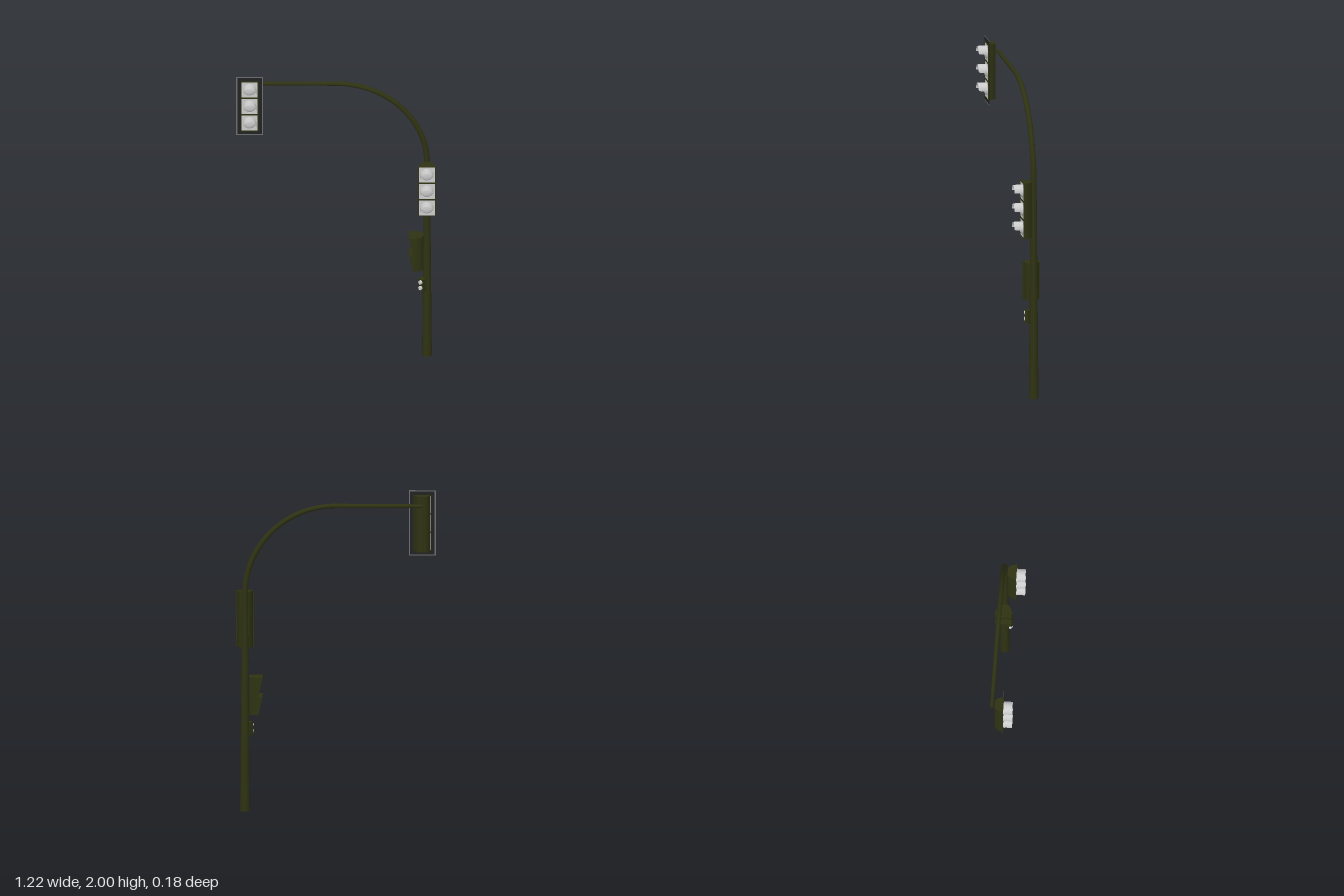
import * as THREE from 'three';
import { toCreasedNormals } from 'three/addons/utils/BufferGeometryUtils.js';

const paint = new THREE.MeshStandardMaterial({ color: 0x2e3212, side: THREE.DoubleSide });
const grey = new THREE.MeshStandardMaterial({ color: 0xcccccc, side: THREE.DoubleSide });
const black = new THREE.MeshStandardMaterial({ color: 0x222222, side: THREE.DoubleSide });
const edge = new THREE.MeshStandardMaterial({ color: 0x6a6c70, side: THREE.DoubleSide });

const POLE_X = 0.556, POLE_Z = -0.036, SECTION = 0.1167;

function add(parent, name, geometry, material, x = 0, y = 0, z = 0) {
  const mesh = new THREE.Mesh(geometry, material);
  mesh.name = name;
  mesh.position.set(x, y, z);
  parent.add(mesh);
  return mesh;
}

function group(parent, name, x, y, z, turn = 0) {
  const g = new THREE.Group();
  g.name = name;
  g.position.set(x, y, z);
  g.rotation.y = turn;
  parent.add(g);
  return g;
}

// Rectangle outline with a rectangular opening
function frameShape(w, h, border) {
  const rect = (T, a, b) => new T([[-a, -b], [a, -b], [a, b], [-a, b]].map(p => new THREE.Vector2(...p)));
  const shape = rect(THREE.Shape, w, h);
  shape.holes.push(rect(THREE.Path, w - border, h - border));
  return shape;
}

// Upright, quarter bend and arm as one tapering tube
function poleAndArm(parent) {
  const R = POLE_X, bend = 1.36, top = bend + R, k = 0.5523 * R;
  const v = (x, y) => new THREE.Vector3(x, y, POLE_Z);
  const path = new THREE.CurvePath();
  path.add(new THREE.LineCurve3(v(R, 0), v(R, bend)));
  path.add(new THREE.CubicBezierCurve3(v(R, bend), v(R, bend + k), v(k, top), v(0, top)));
  path.add(new THREE.LineCurve3(v(0, top), v(-0.53, top)));
  const n = 90, sides = 20;
  const geo = new THREE.TubeGeometry(path, n, 1, sides);
  const radius = u => u < 0.5 ? 0.03 - 0.024 * u : 0.018 - 0.013 * (u - 0.5);
  const pos = geo.attributes.position, p = new THREE.Vector3();
  for (let i = 0; i <= n; i++) {
    const c = path.getPointAt(i / n);
    for (let j = 0; j <= sides; j++) {
      const id = i * (sides + 1) + j;
      p.fromBufferAttribute(pos, id).sub(c).multiplyScalar(radius(i / n)).add(c);
      pos.setXYZ(id, p.x, p.y, p.z);
    }
  }
  add(parent, 'poleAndArm', geo, paint);
  add(parent, 'poleBase', new THREE.CircleGeometry(0.03, sides), paint, R, 0, POLE_Z).rotation.x = Math.PI / 2;
  add(parent, 'armEnd', new THREE.CircleGeometry(0.0115, sides), paint, -0.53, top, POLE_Z).rotation.y = -Math.PI / 2;
}

// Round-backed housing standing along y, with its back at z = -0.018
function housing(parent, height) {
  const s = new THREE.Shape();
  s.moveTo(-0.048, -0.032);
  s.bezierCurveTo(-0.046, -0.008, -0.036, 0.01, -0.02, 0.018);
  s.lineTo(0.02, 0.018);
  s.bezierCurveTo(0.036, 0.01, 0.046, -0.008, 0.048, -0.032);
  let geo = new THREE.ExtrudeGeometry(s, { depth: height, bevelEnabled: false, curveSegments: 8 });
  geo.rotateX(-Math.PI / 2).translate(0, -height / 2, 0);
  add(parent, 'housing', toCreasedNormals(geo, 0.6), paint);
}

// Front frame round one section
function sectionFrame(parent, y, h) {
  const geo = new THREE.ExtrudeGeometry(frameShape(0.054, h / 2, 0.005), { depth: 0.008, bevelEnabled: false });
  add(parent, 'sectionFrame', geo, paint, 0, y, 0.029);
}

// Cutaway hood: full length over the upper half, short below
function hoodGeometry() {
  const geo = new THREE.CylinderGeometry(0.041, 0.041, 1, 48, 1, true);
  geo.rotateX(Math.PI / 2);
  const pos = geo.attributes.position;
  for (let i = 0; i < pos.count; i++) {
    const y = pos.getY(i) / 0.041;
    const length = y > -0.01 ? 0.057 : 0.012 * (1 + y) + 0.003;
    pos.setZ(i, pos.getZ(i) > 0 ? length : 0);
  }
  return geo;
}

// Three-lamp signal facing +z
function trafficSignal(parent, name, x, y) {
  const g = group(parent, name, x, y, 0);
  housing(g, SECTION * 3);
  for (let i = -1; i <= 1; i++) {
    const cy = i * SECTION;
    sectionFrame(g, cy, SECTION);
    add(g, 'lampPanel', new THREE.BoxGeometry(0.099, 0.107, 0.004), grey, 0, cy, 0.033);
    const lens = new THREE.SphereGeometry(0.039, 32, 10, 0, Math.PI * 2, 0, Math.PI / 2);
    lens.rotateX(Math.PI / 2).scale(1, 1, 0.4);
    add(g, 'lens', lens, grey, 0, cy, 0.035);
    add(g, 'lampHood', hoodGeometry(), grey, 0, cy, 0.035);
  }
  return g;
}

// Two-section crossing signal with box hoods, turned to face -x
function pedestrianSignal(parent) {
  const g = group(parent, 'pedestrianSignal', 0.513, 0.728, POLE_Z, -Math.PI / 2);
  const h = 0.1175;
  housing(g, h * 2);
  const cheek = new THREE.Shape([[0.034, 0.057], [0.066, 0.057], [0.04, -0.057], [0.034, -0.057]]
    .map(p => new THREE.Vector2(...p)));
  const cheekGeo = new THREE.ExtrudeGeometry(cheek, { depth: 0.003, bevelEnabled: false });
  cheekGeo.translate(0, 0, -0.0015).rotateY(-Math.PI / 2);
  for (const s of [-1, 1]) {
    const y = s * h / 2;
    sectionFrame(g, y, h);
    add(g, 'signalPanel', new THREE.BoxGeometry(0.1, 0.11, 0.004), paint, 0, y, 0.033);
    add(g, 'hoodTop', new THREE.BoxGeometry(0.098, 0.003, 0.032), paint, 0, y + 0.056, 0.05);
    for (const side of [-1, 1]) add(g, 'hoodSide', cheekGeo, paint, side * 0.0475, y, 0);
  }
}

// Call-button box set diagonally on the pole
function callButton(parent) {
  const g = group(parent, 'callButton', POLE_X, 0.512, POLE_Z, -Math.PI / 4);
  add(g, 'buttonBox', new THREE.BoxGeometry(0.038, 0.084, 0.028), paint, 0, 0, 0.038);
  for (const y of [-0.019, 0.021]) {
    const ring = new THREE.CylinderGeometry(0.013, 0.013, 0.012, 20, 1, true).rotateX(Math.PI / 2);
    add(g, 'buttonRing', ring, grey, 0, y, 0.057);
    const knob = new THREE.SphereGeometry(0.01, 16, 10).scale(1, 1, 0.7);
    add(g, 'button', knob, grey, 0, y, 0.055);
  }
}

export function createModel() {
  const model = new THREE.Group();
  model.name = 'trafficLight';
  poleAndArm(model);
  trafficSignal(model, 'poleSignal', POLE_X, 1.195);

  // Overhead signal with its dark backing plate and light rim
  const overhead = trafficSignal(model, 'overheadSignal', -0.528, 1.795);
  add(overhead, 'backPlate', new THREE.ShapeGeometry(frameShape(0.075, 0.198, 0.03)), black, 0, 0, 0.032);
  add(overhead, 'plateRim', new THREE.ShapeGeometry(frameShape(0.082, 0.205, 0.007)), edge, 0, 0, 0.032);

  pedestrianSignal(model);
  callButton(model);
  return model;
}
